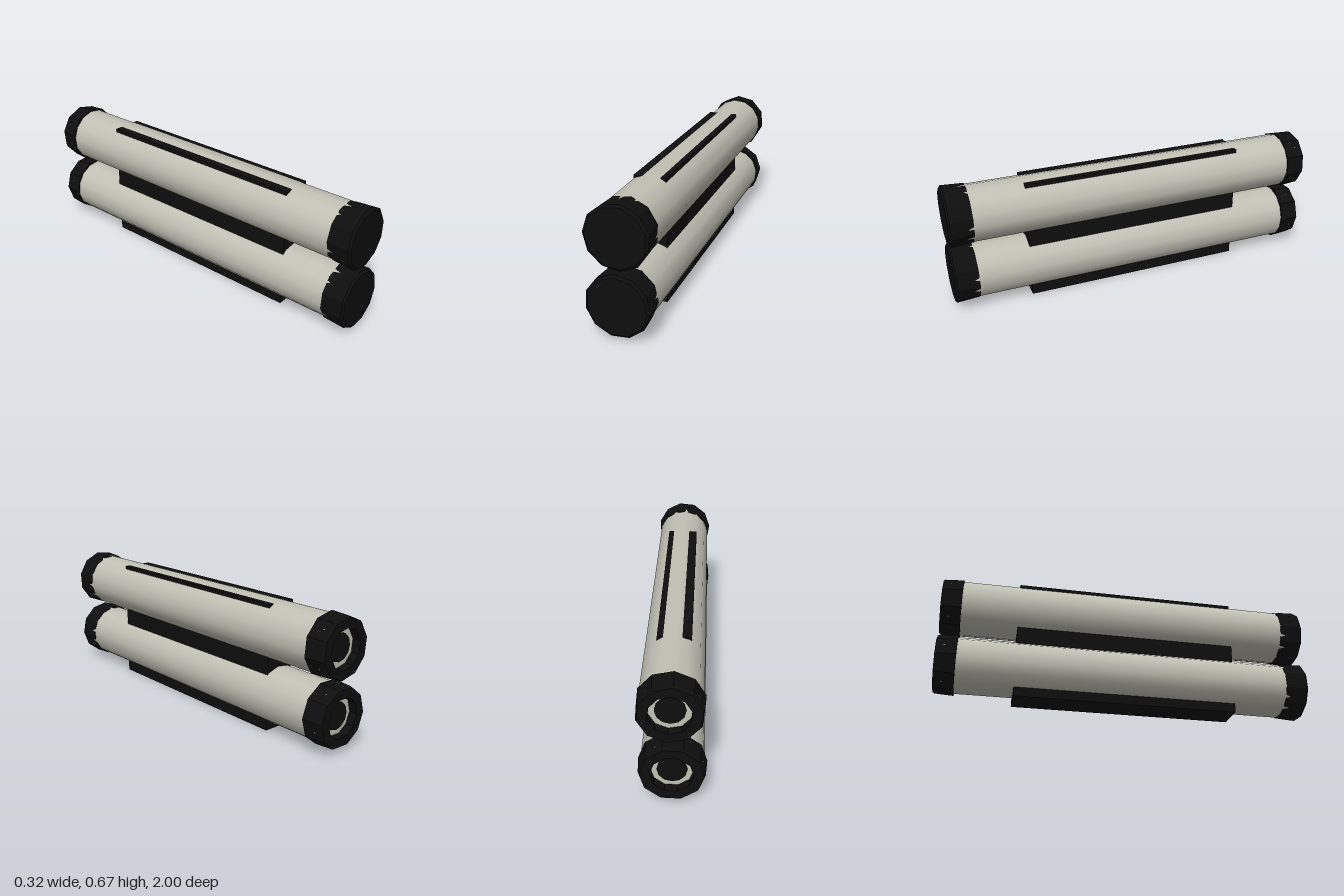
import * as THREE from 'three';

const grey = new THREE.MeshStandardMaterial({ color: 0xc2c1b5 });
grey.name = 'warmGrey';
const black = new THREE.MeshStandardMaterial({ color: 0x0e0e0e });
black.name = 'black';

// Faceted turned part along z; profile holds [radius, distance along axis].
function turned(profile, sides, dir) {
  const points = profile.map(([r, d]) => new THREE.Vector2(r, d));
  const geo = new THREE.LatheGeometry(points, sides).rotateX(dir * Math.PI / 2);
  const flat = geo.toNonIndexed();
  flat.computeVertexNormals();
  return flat;
}

function addPart(parent, name, geo, material) {
  const mesh = new THREE.Mesh(geo, material);
  mesh.name = name;
  parent.add(mesh);
  return mesh;
}

function createTube(name, turn) {
  const tube = new THREE.Group();
  tube.name = name;

  // Smooth barrel
  const barrel = new THREE.CylinderGeometry(0.148, 0.148, 1.92, 14, 1, true).rotateX(Math.PI / 2);
  addPart(tube, 'barrel', barrel, grey).rotation.z = turn;

  // Closed, slightly flared front cap
  const front = turned([[0.14, 0.875], [0.152, 0.875], [0.159, 0.99], [0.146, 1], [0, 1]], 11, 1);
  addPart(tube, 'frontCap', front, black).rotation.z = turn;

  // Rear cap with a recessed opening
  const rear = turned([[0.14, 0.893], [0.159, 0.893], [0.153, 0.99], [0.147, 1], [0.1, 1], [0.1, 0.955]], 10, -1);
  addPart(tube, 'rearRing', rear, black).rotation.z = turn;

  // Recessed rear end with a dark centre plug
  const plate = new THREE.CircleGeometry(0.12, 12).rotateY(Math.PI);
  addPart(tube, 'rearPlate', plate, grey).position.z = -0.957;
  const plug = turned([[0.07, 0.957], [0.07, 0.964], [0, 0.964]], 12, -1);
  addPart(tube, 'rearPlug', plug, black);

  return tube;
}

export function createModel() {
  const model = new THREE.Group();
  model.name = 'twinTubes';

  const upper = createTube('upperTube', 0.1);
  upper.position.set(0.002, 0.509, 0);
  const lower = createTube('lowerTube', 0.35);
  lower.position.set(-0.004, 0.175, 0);
  model.add(upper, lower);

  // Long mounting block running through both tubes
  const block = addPart(model, 'mountingBlock', new THREE.BoxGeometry(0.163, 0.648, 1.19), black);
  block.position.y = 0.324;

  return model;
}
